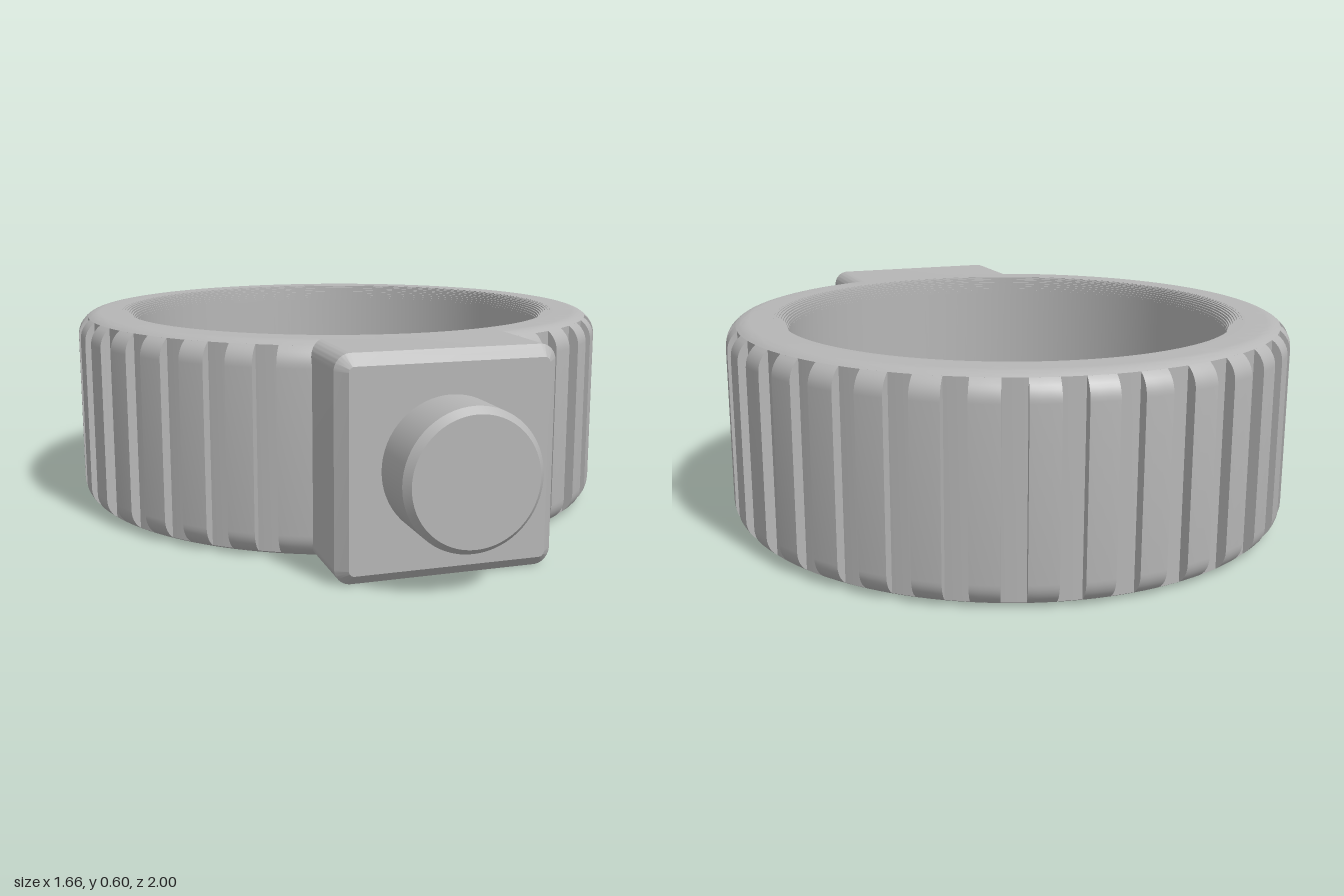
import * as THREE from 'three';
import { mergeGeometries, toCreasedNormals } from 'three/addons/utils/BufferGeometryUtils.js';

const HALF = 0.2975;      // half the band height
const OUTER = 0.83, FLOOR = 0.80, BORE = 0.65;
const ROUND = 0.07, INNER_ROUND = 0.05;
const SLOTS = 36, SLOT_HALF = 0.04;
const RING_Z = -0.17;

const V = (x, y) => new THREE.Vector2(x, y);

// Point on the rounded outer edge; a = 0 faces sideways, PI/2 faces up
const edgePoint = (a, side) =>
  V(OUTER - ROUND + ROUND * Math.cos(a), side * (HALF - ROUND + ROUND * Math.sin(a)));
const CUT = Math.acos((FLOOR - OUTER + ROUND) / ROUND); // where the slot floor meets the edge

// Band cross-section at slot-floor radius, with finely stepped bore edges
function coreProfile() {
  const upper = [V(FLOOR, 0)];
  for (let i = 0; i <= 5; i++) upper.push(edgePoint(CUT + (Math.PI / 2 - CUT) * i / 5, 1));
  const stepR = t => BORE + INNER_ROUND * (1 - Math.sin(t));
  const stepY = t => HALF - INNER_ROUND * (1 - Math.cos(t));
  const n = 10;
  upper.push(V(stepR(0), HALF));
  for (let i = 1; i <= n; i++) {
    const t = Math.PI / 2 * i / n, prev = Math.PI / 2 * (i - 1) / n;
    upper.push(V(stepR(t), stepY(prev)), V(stepR(t), stepY(t)));
  }
  const lower = upper.slice(1).reverse().map(p => V(p.x, -p.y));
  return [...upper, ...lower, V(FLOOR, 0)];
}

// Outer profile of one raised rib, bottom to top
function ribProfile() {
  const pts = [];
  for (let i = 0; i <= 6; i++) pts.push(edgePoint(CUT * (1 - i / 6), -1));
  for (let i = 0; i <= 6; i++) pts.push(edgePoint(CUT * i / 6, 1));
  return pts;
}

// Rib swept between two angles, closed by flat side walls
function rib(start, end) {
  const pts = ribProfile();
  const segments = Math.max(3, Math.round((end - start) / 0.035));
  const startWall = new THREE.ShapeGeometry(new THREE.Shape(pts)).rotateY(start - Math.PI / 2);
  const endWall = new THREE.ShapeGeometry(new THREE.Shape(pts)).rotateX(Math.PI).rotateY(end - Math.PI / 2);
  return mergeGeometries([new THREE.LatheGeometry(pts, segments, start, end - start), startWall, endWall]);
}

function roundedRect(w, h, r) {
  const s = new THREE.Shape();
  s.absarc(w - r, h - r, r, 0, Math.PI / 2);
  s.absarc(-w + r, h - r, r, Math.PI / 2, Math.PI);
  s.absarc(-w + r, -h + r, r, Math.PI, Math.PI * 1.5);
  s.absarc(w - r, -h + r, r, Math.PI * 1.5, Math.PI * 2);
  s.closePath();
  return s;
}

export function createModel() {
  const group = new THREE.Group();
  const grey = new THREE.MeshStandardMaterial({ color: 0xb6b6b6 });
  grey.name = 'grey';
  const add = (name, geometry, z) => {
    const mesh = new THREE.Mesh(toCreasedNormals(geometry, 0.5), grey);
    mesh.name = name;
    mesh.position.set(0, HALF, z);
    group.add(mesh);
  };

  // Band
  add('band', new THREE.LatheGeometry(coreProfile(), 144), RING_Z);

  // Grip ribs between evenly spaced slots, plus one wide plain stretch behind the block
  const step = Math.PI * 2 / SLOTS;
  const ribs = [];
  for (let k = 3; k < SLOTS - 3; k++) ribs.push(rib(k * step + SLOT_HALF, (k + 1) * step - SLOT_HALF));
  ribs.push(rib(-3 * step + SLOT_HALF, 3 * step - SLOT_HALF));
  add('gripRibs', mergeGeometries(ribs), RING_Z);

  // Mounting block with chamfered front edge
  const bevel = 0.03;
  add('mountingBlock', new THREE.ExtrudeGeometry(roundedRect(0.27, HALF - bevel, 0.015), {
    depth: 0.27, bevelEnabled: true, bevelSegments: 1, bevelSize: bevel, bevelThickness: bevel, curveSegments: 6,
  }), 0.53);

  // Round knob with chamfered rim
  const knob = [V(0.185, 0), V(0.185, 0.18), V(0.168, 0.2), V(0, 0.2)];
  add('knob', new THREE.LatheGeometry(knob, 64).rotateX(Math.PI / 2), 0.8);

  return group;
}
